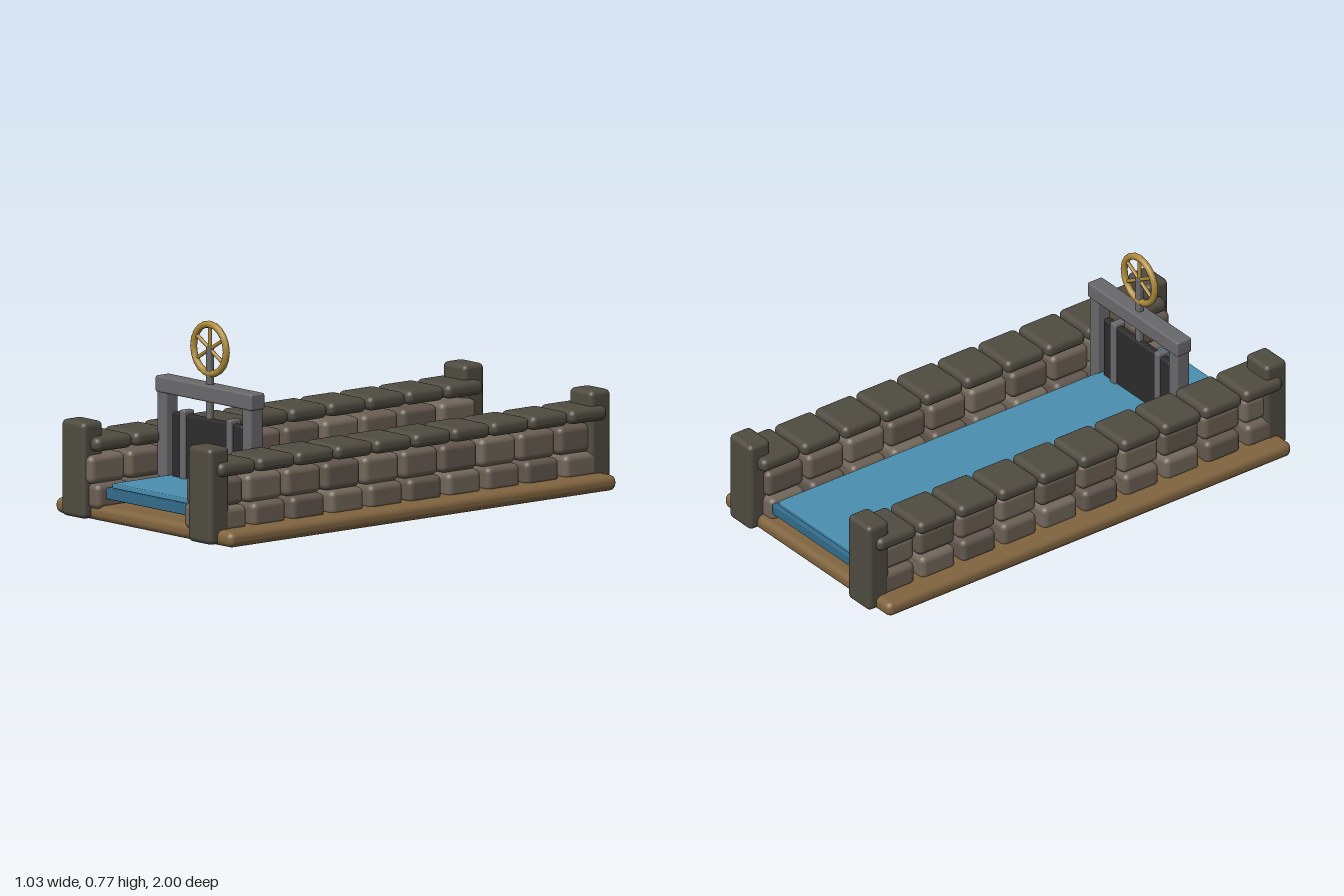
import * as THREE from 'three';
import { RoundedBoxGeometry } from 'three/addons/geometries/RoundedBoxGeometry.js';

const paint = (color) => new THREE.MeshStandardMaterial({ color });
const darkStone = paint(0x4f4b40);
const wallStones = [paint(0x6b5f53), paint(0x72675a), paint(0x62574d)];
const wood = paint(0x80643f);
const iron = paint(0x69696c);
const black = paint(0x2c2c2c);
const brass = paint(0xad8a3a);
const waterDeep = paint(0x326c8b);
const waterTop = paint(0x4a8fb0);

// Rounded block given by its [min, max] extent on each axis
function block(parent, name, x, y, z, radius, material) {
  const size = [x, y, z].map(([a, b]) => b - a);
  const mesh = new THREE.Mesh(new RoundedBoxGeometry(...size, 3, radius), material);
  mesh.position.set((x[0] + x[1]) / 2, (y[0] + y[1]) / 2, (z[0] + z[1]) / 2);
  mesh.name = name;
  parent.add(mesh);
  return mesh;
}

const around = (centre, half) => [centre - half, centre + half];

function createWall(side) {
  const wall = new THREE.Group();
  wall.name = side > 0 ? 'leftWall' : 'rightWall';
  const span = (a, b) => (side > 0 ? [a, b] : [-b, -a]);
  const pitch = 0.1944;

  for (let i = 0; i < 10; i++) {
    const z = (4.5 - i) * pitch;
    const shade = (k) => wallStones[(i * 2 + k + (side > 0 ? 1 : 0)) % 3];
    block(wall, 'lowerStone', span(0.245, 0.435), [0.045, 0.143], around(z + 0.018, 0.082), 0.024, shade(0));
    block(wall, 'upperStone', span(0.27, 0.415), [0.141, 0.25], around(z + 0.025, 0.088), 0.024, shade(1));
    block(wall, 'capStone', span(0.26, 0.46), [0.263, 0.319], around(z, 0.091), 0.024, darkStone);
  }
  // End pillars
  for (const z of [0.95, -0.95]) {
    block(wall, 'endPillar', span(0.3, 0.436), [0.005, 0.376], around(z, 0.05), 0.02, darkStone);
  }
  return wall;
}

function createGate() {
  const gate = new THREE.Group();
  gate.name = 'sluiceGate';
  gate.position.z = 0.628;

  // Frame
  for (const s of [-1, 1]) {
    block(gate, 'framePost', around(s * 0.246, 0.027), [0.062, 0.48], around(0, 0.031), 0.008, iron);
    block(gate, 'panelStrap', around(s * 0.135, 0.0165), [0.07, 0.408], around(0, 0.026), 0.006, iron);
  }
  block(gate, 'frameBeam', around(0, 0.28), [0.462, 0.525], around(0, 0.035), 0.008, iron);
  block(gate, 'gatePanel', around(0, 0.206), [0.07, 0.393], around(0, 0.016), 0.009, black);
  block(gate, 'liftingRod', around(0, 0.014), [0.38, 0.668], around(0, 0.011), 0.005, iron);

  // Hand wheel with six spokes
  const wheel = new THREE.Group();
  wheel.name = 'handWheel';
  wheel.position.y = 0.66;
  const rim = new THREE.Mesh(new THREE.TorusGeometry(0.095, 0.0135, 10, 20), brass);
  rim.name = 'wheelRim';
  wheel.add(rim);
  for (let i = 0; i < 3; i++) {
    const spoke = new THREE.Mesh(new THREE.CylinderGeometry(0.0075, 0.0075, 0.19, 8), brass);
    spoke.name = 'wheelSpokes';
    spoke.rotation.z = (i * Math.PI) / 3;
    wheel.add(spoke);
  }
  gate.add(wheel);
  return gate;
}

export function createModel() {
  const model = new THREE.Group();
  model.name = 'waterChannel';

  block(model, 'baseSlab', around(0, 0.515), [0, 0.06], around(0, 0.965), 0.026, wood);

  // Channel water: body and raised surface
  block(model, 'waterBody', around(0, 0.25), [0.085, 0.127], around(0, 0.935), 0.004, waterDeep);
  block(model, 'waterSurface', around(0, 0.228), [0.127, 0.146], around(0, 0.92), 0.004, waterTop);

  model.add(createWall(1), createWall(-1), createGate());
  return model;
}
